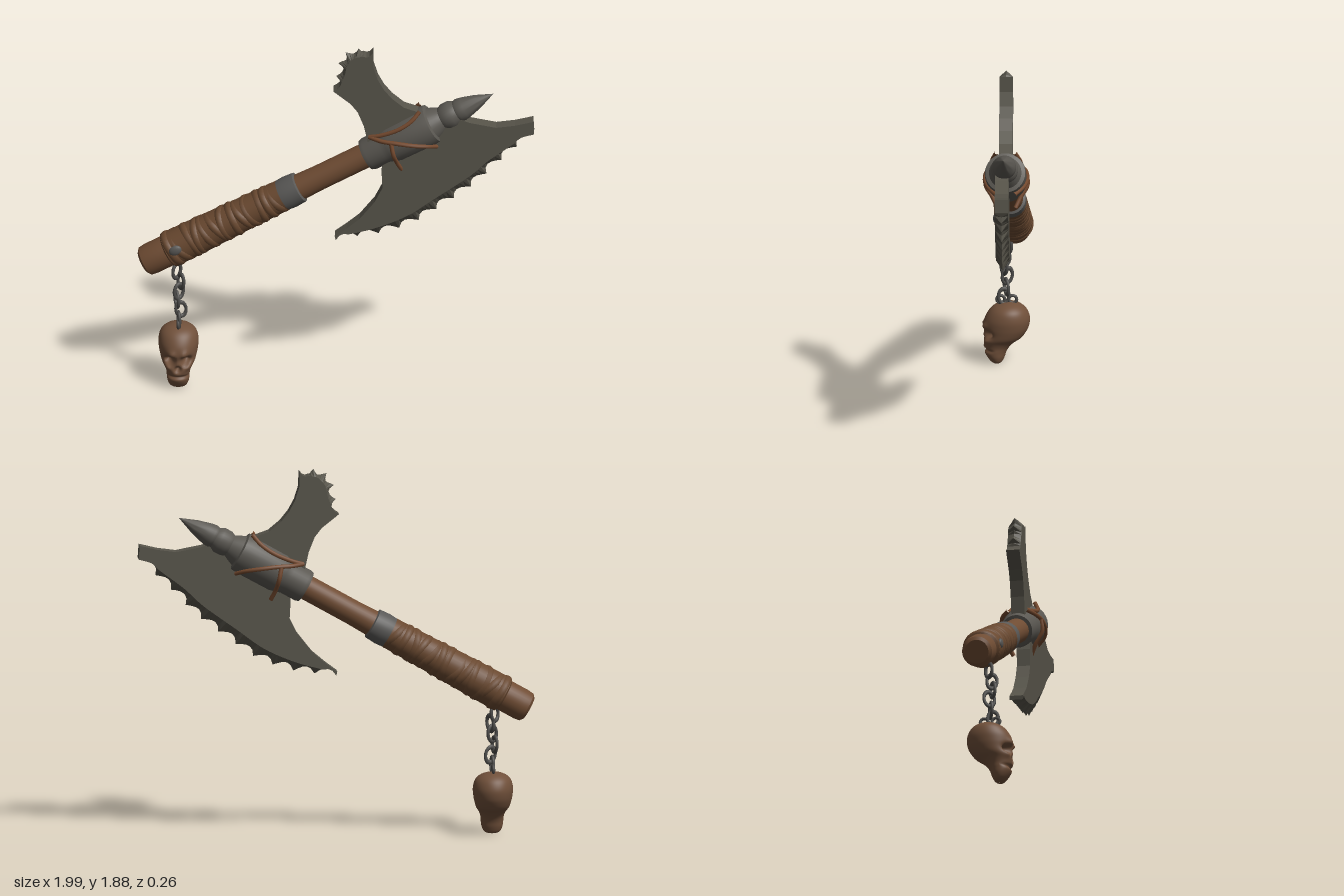
import * as THREE from 'three';
import { toCreasedNormals } from 'three/addons/utils/BufferGeometryUtils.js';

const mat = (name, color, side = THREE.FrontSide) => {
  const m = new THREE.MeshStandardMaterial({ color, side });
  m.name = name;
  return m;
};
const V3 = (x, y, z) => new THREE.Vector3(x, y, z);
const V2 = (p) => new THREE.Vector2(p[0], p[1]);

export function createModel() {
  const M = {
    wood: mat('wood', 0x6f4c33),
    leather: mat('leather', 0x6a4930),
    iron: mat('iron', 0x5b5852),
    band: mat('band grey', 0x595856),
    blade: mat('blade steel', 0x57544a, THREE.DoubleSide),
    cord: mat('cord', 0x74492e),
    bone: mat('bone', 0x70503a),
    chain: mat('chain', 0x4d4c4a),
  };
  const root = new THREE.Group();
  root.name = 'battleAxe';
  const add = (parent, name, geo, material) => {
    const mesh = new THREE.Mesh(geo, material);
    mesh.name = name;
    parent.add(mesh);
    return mesh;
  };
  const lathe = (pts) => toCreasedNormals(new THREE.LatheGeometry(pts.map(V2), 32), 0.6);

  // Shaft group: local y runs from the butt to the spike tip
  const shaft = new THREE.Group();
  shaft.name = 'shaft';
  shaft.position.set(-0.95, 0.655, -0.04);
  shaft.rotation.set(0.02, 0, -1.059, 'ZYX');
  root.add(shaft);

  add(shaft, 'handle', lathe([[0, -0.015], [0.06, -0.013], [0.076, 0], [0.08, 0.03], [0.08, 0.12],
    [0.074, 0.2], [0.068, 0.85], [0.063, 1], [0.063, 1.4]]), M.wood);
  add(shaft, 'gripBand', lathe([[0.066, 0.785], [0.08, 0.79], [0.083, 0.83], [0.079, 0.885], [0.064, 0.892]]), M.band);

  // Leather grip: sleeve plus tilted overlapping wraps
  add(shaft, 'gripSleeve', lathe([[0.07, 0.12], [0.092, 0.135], [0.09, 0.3], [0.083, 0.6], [0.08, 0.79]]), M.leather);
  for (let i = 0; i < 13; i++) {
    const k = i / 12;
    const g = new THREE.TorusGeometry(0.082 - 0.012 * k, 0.016, 8, 32);
    g.scale(1, 1, 1.5);
    g.rotateX(Math.PI / 2);
    const wrap = add(shaft, 'gripWrap', g, M.leather);
    wrap.position.y = 0.16 + 0.6 * k;
    wrap.rotation.set(0.22 * Math.sin(i * 2.3), 0, 0.12 + 0.28 * Math.sin(i * 1.7));
  }
  const stud = add(shaft, 'gripStud', new THREE.SphereGeometry(0.026, 16, 10), M.band);
  stud.scale.set(1, 1.3, 0.5);
  stud.position.set(-0.02, 0.185, 0.092);

  // Iron head socket and spike
  add(shaft, 'headSocket', lathe([[0.062, 1.268], [0.08, 1.27], [0.086, 1.29], [0.086, 1.37], [0.094, 1.4],
    [0.102, 1.43], [0.104, 1.62], [0.1, 1.65], [0.07, 1.66]]), M.iron);
  add(shaft, 'spike', lathe([[0.088, 1.64], [0.068, 1.69], [0.058, 1.71], [0.067, 1.73], [0.068, 1.77], [0.055, 1.795],
    [0.06, 1.81], [0.055, 1.84], [0.036, 1.91], [0, 2.003]]), M.iron);

  // Cords lashed over both faces of the socket, as (distance along shaft, offset toward the horn)
  const cords = [
    [[1.345, 0.1], [1.4, 0.088], [1.5, 0.078], [1.58, 0.085], [1.64, 0.106]],
    [[1.345, 0.1], [1.4, 0.065], [1.46, 0.03], [1.53, -0.02], [1.585, -0.065], [1.62, -0.106]],
    [[1.44, 0.04], [1.42, -0.02], [1.405, -0.08], [1.4, -0.135]],
  ];
  for (const side of [1, -1]) {
    for (const path of cords) {
      const pts = path.map(([t, s]) =>
        V3(-s, t, side * Math.sqrt(Math.max(0.107 ** 2 - s * s, 0.045 ** 2))));
      add(shaft, 'cord', new THREE.TubeGeometry(new THREE.CatmullRomCurve3(pts), 32, 0.011, 8), M.cord);
    }
  }

  // Blades: flat plate with a bevelled, scalloped cutting edge
  function makeBlade(name, edgePts, backPts, teeth, depth, bevel, z) {
    const h = 0.034, per = 5, n = teeth * per;
    const curve = new THREE.SplineCurve(edgePts.map(V2));
    const outer = [], inner = [];
    for (let i = 0; i <= n; i++) {
      const u = i / n, f = (i % per) / per;
      const p = curve.getPointAt(u), t = curve.getTangentAt(u);
      const normal = new THREE.Vector2(-t.y, t.x);
      const bite = depth * Math.sin(Math.PI * Math.pow(f, 0.8));
      const width = Math.max(bite, bevel * Math.pow(Math.sin(Math.PI * Math.min(u, 0.9999)), 0.5));
      outer.push(p.clone().addScaledVector(normal, bite));
      inner.push(p.clone().addScaledVector(normal, width));
    }
    const plate = new THREE.ExtrudeGeometry(new THREE.Shape([...inner, ...backPts.map(V2)]),
      { depth: 2 * h, bevelEnabled: false });
    plate.translate(0, 0, -h);
    const group = new THREE.Group();
    group.name = name;
    group.position.z = z;
    root.add(group);
    add(group, 'bladePlate', plate, M.blade);
    const pos = [];
    const tri = (...ps) => ps.forEach((p) => pos.push(...p));
    for (let i = 0; i < n; i++) {
      const [a, b, c, d] = [outer[i], outer[i + 1], inner[i + 1], inner[i]];
      const A = [a.x, a.y, 0], B = [b.x, b.y, 0];
      const C = (s) => [c.x, c.y, s * h], D = (s) => [d.x, d.y, s * h];
      tri(A, B, C(1)); tri(A, C(1), D(1));
      tri(B, A, C(-1)); tri(A, D(-1), C(-1));
    }
    const edge = new THREE.BufferGeometry();
    edge.setAttribute('position', new THREE.Float32BufferAttribute(pos, 3));
    edge.computeVertexNormals();
    add(group, 'cuttingEdge', edge, M.blade);
  }
  makeBlade('mainBlade',
    [[0.005, 0.825], [0.2, 0.845], [0.39, 0.91], [0.553, 1.02], [0.71, 1.14], [0.805, 1.24], [0.9, 1.33], [0.985, 1.425]],
    [[1, 1.43], [0.995, 1.5], [0.905, 1.478], [0.81, 1.465], [0.68, 1.49], [0.57, 1.53], [0.4, 1.45], [0.25, 1.33],
      [0.235, 1.21], [0.24, 1.12], [0.2, 1.04], [0.125, 0.945], [0.06, 0.89], [0, 0.845]],
    11, 0.032, 0.065, 0.008);
  makeBlade('rearHorn',
    [[0.192, 1.868], [0.09, 1.875], [0.025, 1.82], [0.01, 1.74], [-0.008, 1.65]],
    [[0.08, 1.58], [0.115, 1.535], [0.145, 1.46], [0.165, 1.37], [0.3, 1.4], [0.43, 1.535], [0.345, 1.565],
      [0.285, 1.615], [0.245, 1.665], [0.215, 1.72], [0.193, 1.79]],
    5, 0.03, 0.045, -0.008);

  // Chain of alternating oval links
  const linkGeo = new THREE.TorusGeometry(0.027, 0.0085, 8, 20);
  linkGeo.scale(1, 1.45, 1);
  for (let i = 0; i < 6; i++) {
    const link = add(root, 'chainLink', linkGeo, M.chain);
    link.position.set(-0.783 + 0.012 * Math.sin(i * 2.1), 0.355 + i * 0.053, 0.005 + 0.01 * Math.cos(i * 1.9));
    link.rotation.set(0, (i % 2 ? 0.3 : 1.75) + 0.1 * i, 0.22 * Math.sin(i * 2));
  }
  for (const z of [0.03, -0.03]) {
    const hook = add(root, 'skullHook', new THREE.TorusGeometry(0.02, 0.008, 8, 16), M.chain);
    hook.position.set(-0.785, 0.338, z);
    hook.rotation.y = Math.PI / 2;
  }

  // Skull lofted from rings: height, half width, front z, back z
  const rings = [[0, 0.002, 0.052, 0.048], [0.008, 0.036, 0.075, 0.025], [0.035, 0.052, 0.098, 0.01], [0.065, 0.057, 0.113, 0],
    [0.09, 0.059, 0.116, -0.015], [0.115, 0.068, 0.122, -0.04], [0.14, 0.083, 0.12, -0.075], [0.17, 0.092, 0.116, -0.098],
    [0.2, 0.098, 0.116, -0.112], [0.24, 0.101, 0.11, -0.117], [0.28, 0.092, 0.088, -0.104], [0.305, 0.07, 0.06, -0.08],
    [0.32, 0.036, 0.022, -0.048], [0.325, 0.002, -0.01, -0.014]];
  const widths = new THREE.CatmullRomCurve3(rings.map((r) => V3(r[0], r[1], 0)), false, 'catmullrom');
  const depths = new THREE.CatmullRomCurve3(rings.map((r) => V3(r[0], r[2], r[3])), false, 'catmullrom');
  const bump = (dx, dy, r) => Math.exp(-(dx * dx + dy * dy) / (r * r));
  const rows = 60, cols = 64, pos = [], idx = [];
  for (let i = 0; i <= rows; i++) {
    const w = widths.getPoint(i / rows), d = depths.getPoint(i / rows), y = w.x;
    for (let j = 0; j < cols; j++) {
      const a = (j / cols) * Math.PI * 2, ax = Math.abs(w.y * Math.cos(a));
      let z = (d.y + d.z) / 2 + ((d.y - d.z) / 2) * Math.sin(a);
      // Eye sockets, nose, mouth, brow and cheekbones
      const front = Math.max(0, Math.sin(a));
      z += Math.sqrt(front) * (-0.05 * bump(ax - 0.042, y - 0.165, 0.023) - 0.035 * bump(ax, y - 0.122, 0.015)
        - 0.016 * bump(0, y - 0.075, 0.009) + 0.016 * bump(ax - 0.035, y - 0.2, 0.02)
        + 0.014 * bump(ax - 0.055, y - 0.13, 0.016));
      pos.push(w.y * Math.cos(a), y, z);
      if (i < rows) {
        const p = i * cols + j, q = i * cols + ((j + 1) % cols);
        idx.push(p, p + cols, q, q, p + cols, q + cols);
      }
    }
  }
  const skullGeo = new THREE.BufferGeometry();
  skullGeo.setAttribute('position', new THREE.Float32BufferAttribute(pos, 3));
  skullGeo.setIndex(idx);
  skullGeo.computeVertexNormals();
  add(root, 'skull', skullGeo, M.bone).position.x = -0.785;

  return root;
}
